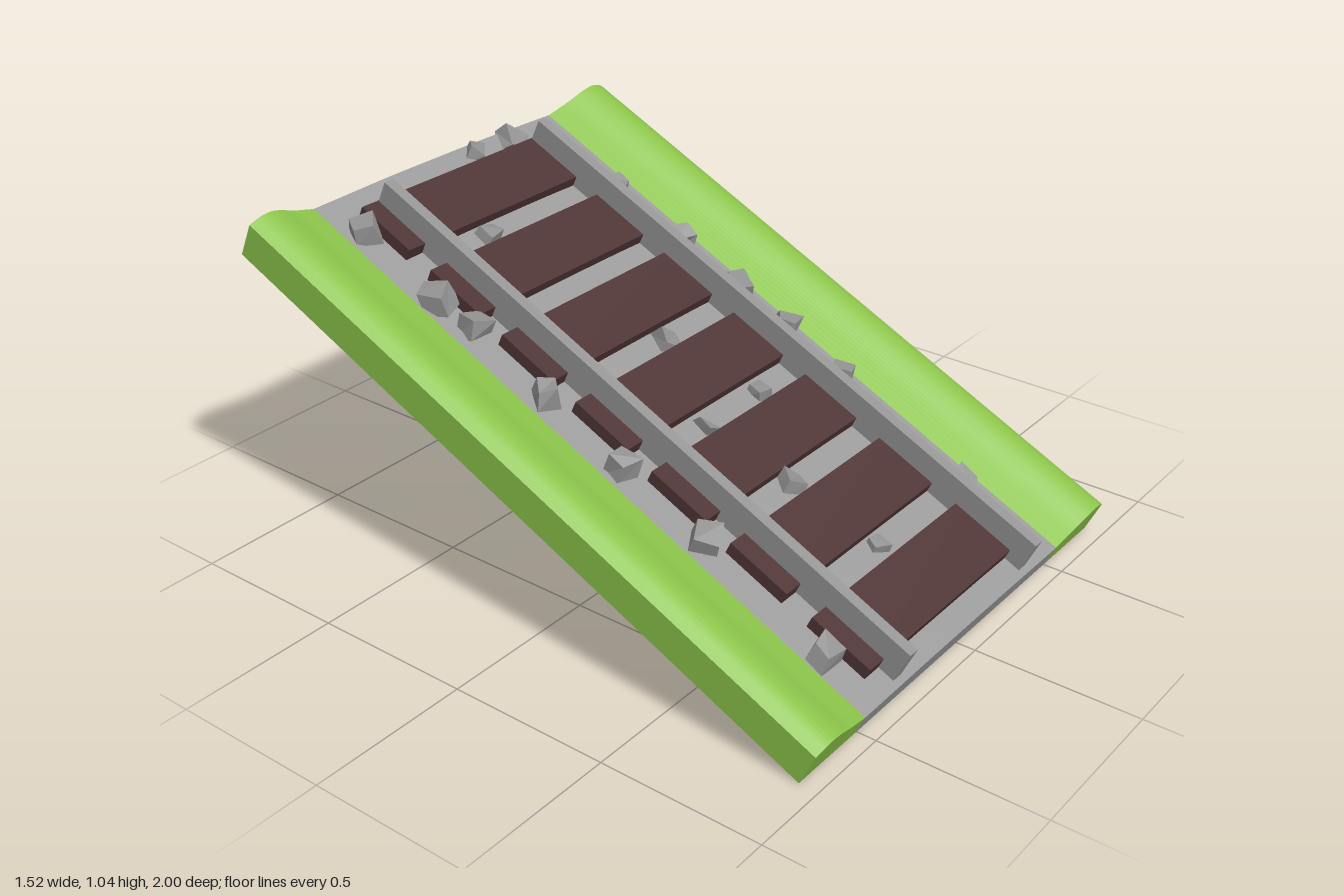
import * as THREE from 'three';
import { toCreasedNormals } from 'three/addons/utils/BufferGeometryUtils.js';

const LENGTH = 2.143;
const SLOPE = 0.4386;

function material(name, color) {
  const m = new THREE.MeshStandardMaterial({ color });
  m.name = name;
  return m;
}

// Closed cross-section in x/y, extruded up the slope (towards -z)
function strip(bottomLeft, bottomRight, top) {
  const shape = new THREE.Shape();
  shape.moveTo(bottomLeft, 0);
  shape.lineTo(bottomRight, 0);
  shape.lineTo(top[0][0], top[0][1]);
  shape.splineThru(top.slice(1).map(([x, y]) => new THREE.Vector2(x, y)));
  const geo = new THREE.ExtrudeGeometry(shape, { depth: LENGTH, bevelEnabled: false, curveSegments: 5 });
  geo.translate(0, 0, -LENGTH);
  return toCreasedNormals(geo, 0.5);
}

// Box with a shrunken, shifted top and jittered corners
function stone(rand, size) {
  const geo = new THREE.BoxGeometry(size, size * 0.85, size).toNonIndexed();
  const p = geo.attributes.position;
  const offsets = Array.from({ length: 8 }, () => [rand(), rand(), rand()].map((r) => (r - 0.5) * size * 0.3));
  for (let i = 0; i < p.count; i++) {
    const x = p.getX(i), y = p.getY(i), z = p.getZ(i);
    const o = offsets[(x > 0 ? 1 : 0) + (y > 0 ? 2 : 0) + (z > 0 ? 4 : 0)];
    const k = y > 0 ? 0.85 : 1;
    p.setXYZ(i, x * k + o[0], y + o[1], z * k + o[2]);
  }
  geo.computeVertexNormals();
  return geo;
}

export function createModel() {
  const grass = material('grass green', 0x8bc34a);
  const gravel = material('gravel grey', 0x9a9a9a);
  const wood = material('dark wood', 0x4f3535);
  const steel = material('rail grey', 0x949494);
  const rock = material('stone grey', 0x909090);

  const model = new THREE.Group();
  model.name = 'slopedTrack';
  const track = new THREE.Group();
  track.name = 'track';
  track.position.z = 0.94;
  track.rotation.x = SLOPE;
  model.add(track);

  const add = (name, geo, mat, x = 0, y = 0, z = 0) => {
    const mesh = new THREE.Mesh(geo, mat);
    mesh.name = name;
    mesh.position.set(x, y, z);
    track.add(mesh);
    return mesh;
  };

  // Gravel bed with a slightly crowned top
  add('gravelBed', strip(-0.51, 0.51,
    [[0.51, 0.072], [0.36, 0.077], [0.2, 0.082], [0, 0.083], [-0.2, 0.082], [-0.36, 0.077], [-0.51, 0.072]]), gravel);

  // Grass banks
  const bank = [[0.76, 0.112], [0.725, 0.129], [0.69, 0.134], [0.65, 0.124], [0.59, 0.098], [0.51, 0.072]];
  add('leftBank', strip(0.51, 0.76, bank), grass);
  add('rightBank', strip(-0.76, -0.51, bank.map(([x, y]) => [-x, y]).reverse()), grass);

  // Sleepers
  const sleeperGeo = new THREE.BoxGeometry(0.83, 0.05, 0.205);
  for (let i = 0; i < 7; i++) add('sleeper', sleeperGeo, wood, 0, 0.089, -0.1775 - i * 0.2955);

  // Rails
  const railGeo = new THREE.BoxGeometry(0.036, 0.109, 2.028);
  for (const s of [-1, 1]) add(s > 0 ? 'leftRail' : 'rightRail', railGeo, steel, s * 0.333, 0.1325, -1.036);

  // Loose stones: x, z on the ground plan, and size
  let seed = 11;
  const rand = () => (seed = (seed * 16807) % 2147483647) / 2147483647;
  const stones = [
    [-0.46, -0.82, 0.075], [-0.47, -0.53, 0.08], [-0.44, -0.41, 0.075], [-0.45, -0.14, 0.07],
    [-0.46, 0.13, 0.075], [-0.45, 0.41, 0.08], [-0.46, 0.81, 0.075],
    [0.44, -0.62, 0.06], [0.45, -0.37, 0.07], [0.455, -0.15, 0.075], [0.455, 0.03, 0.07],
    [0.445, 0.24, 0.07], [0.435, 0.69, 0.075],
    [0.28, -0.91, 0.075], [0.12, -0.92, 0.06], [-0.12, -0.65, 0.065], [0.04, -0.11, 0.075],
    [-0.1, 0.16, 0.07], [0.15, 0.155, 0.055], [-0.055, 0.42, 0.07], [-0.01, 0.68, 0.055],
  ];
  for (const [x, z, size] of stones) {
    const y = Math.abs(x) > 0.4 ? 0.094 : 0.083;
    const mesh = add('stone', stone(rand, size), rock, x, y, (z - 0.982) / Math.cos(SLOPE));
    mesh.rotation.set((rand() - 0.5) * 0.7, rand() * Math.PI, (rand() - 0.5) * 0.7);
  }

  return model;
}
